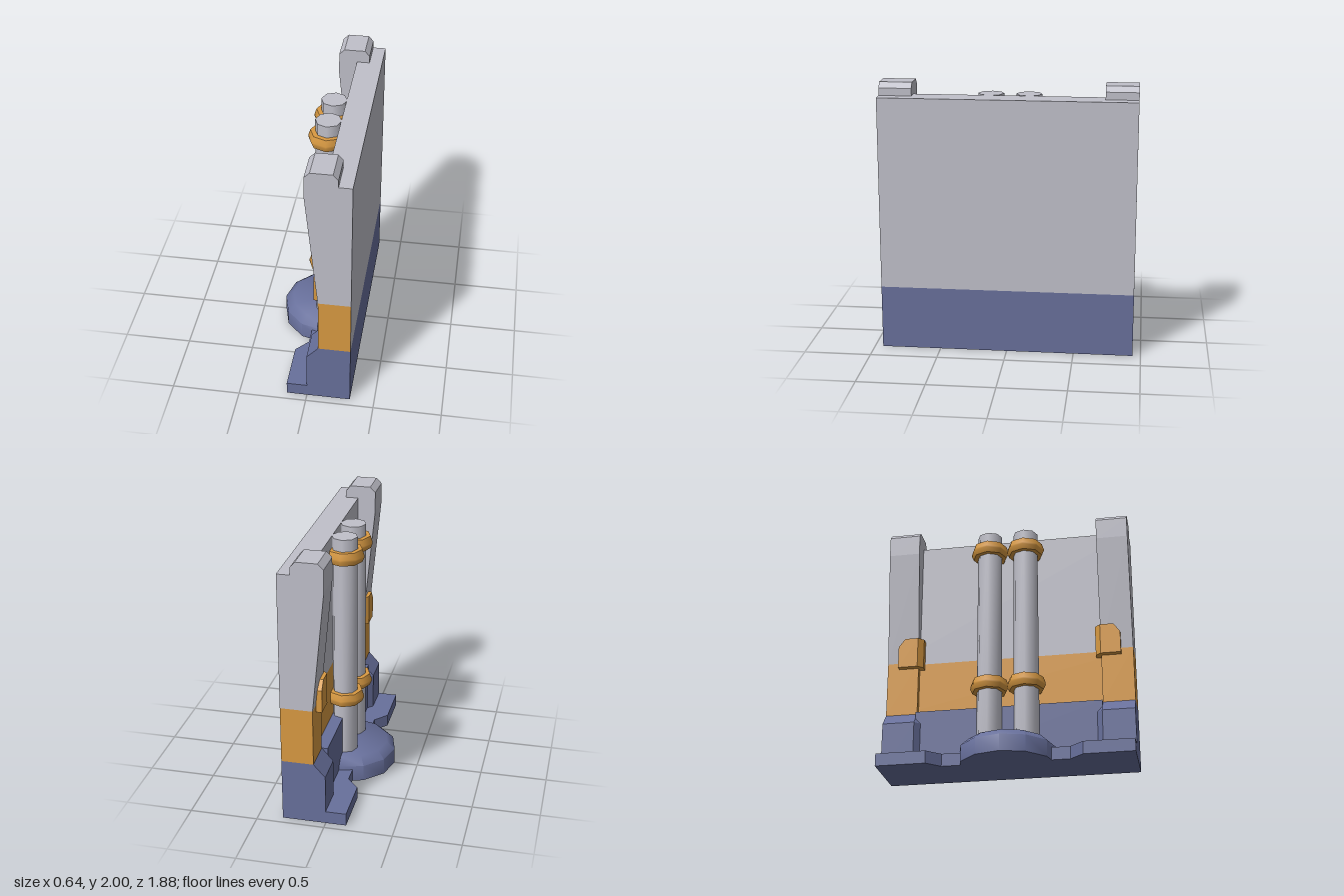
import * as THREE from 'three';
import { toCreasedNormals } from 'three/addons/utils/BufferGeometryUtils.js';
import { ConvexGeometry } from 'three/addons/geometries/ConvexGeometry.js';

const material = (name, color) => {
  const m = new THREE.MeshStandardMaterial({ color });
  m.name = name;
  return m;
};

export function createModel() {
  const grey = material('light grey', 0xc0c0ca);
  const orange = material('orange', 0xd99a42);
  const blue = material('slate blue', 0x68709c);
  const root = new THREE.Group();

  const add = (name, geometry, mat, x = 0, y = 0, z = 0) => {
    const mesh = new THREE.Mesh(geometry, mat);
    mesh.name = name;
    mesh.position.set(x, y, z);
    root.add(mesh);
    return mesh;
  };
  // box given by its limits
  const box = (name, mat, x0, x1, y0, y1, z0, z1) =>
    add(name, new THREE.BoxGeometry(x1 - x0, y1 - y0, z1 - z0), mat,
      (x0 + x1) / 2, (y0 + y1) / 2, (z0 + z1) / 2);
  const extrude = (points, depth) => new THREE.ExtrudeGeometry(
    new THREE.Shape(points.map(([a, b]) => new THREE.Vector2(a, b))),
    { depth, bevelEnabled: false });
  const lathe = (points, segments, start = 0, length = Math.PI * 2) => toCreasedNormals(
    new THREE.LatheGeometry(points.map(([r, y]) => new THREE.Vector2(r, y)), segments, start, length), 0.9);
  // convex solid, mirrored by the sign of z
  const hull = (points, s) => new ConvexGeometry(
    points.map(([x, y, z]) => new THREE.Vector3(x, y, z * s)));

  // wall slab in three bands; the plain back of the middle band is grey
  box('wallBase', blue, 0.13, 0.32, 0, 0.475, -0.94, 0.94);
  box('wallBand', [grey, orange, orange, orange, orange, orange],
    0.13, 0.32, 0.475, 0.9, -0.94, 0.94);
  box('wallPanel', grey, 0.13, 0.32, 0.9, 1.905, -0.94, 0.94);
  box('plinth', blue, 0.04, 0.13, 0, 0.475, -0.7, 0.7);

  // low foot with a recess in the middle
  const foot = extrude([[0.04, -0.94], [0.04, 0.94], [-0.15, 0.94], [-0.15, 0.57],
    [-0.06, 0.47], [-0.06, -0.47], [-0.15, -0.57], [-0.15, -0.94]], 0.095);
  foot.rotateX(-Math.PI / 2);
  add('foot', foot, blue);

  // buttresses at both ends
  for (const s of [1, -1]) {
    const plan = [[0, 0.94], [0, 0.7], [0.04, 0.66], [0.13, 0.66], [0.13, 0.94]];
    const basePoints = [];
    for (const [x, z] of plan) basePoints.push([x, 0, z], [x, 0.38, z]);
    basePoints.push([0.085, 0.475, 0.94], [0.085, 0.475, 0.7], [0.125, 0.475, 0.66],
      [0.13, 0.475, 0.66], [0.13, 0.475, 0.94]);
    add('buttressBase', hull(basePoints, s), blue);

    box('buttressBand', orange, 0.085, 0.13, 0.475, 0.9,
      s > 0 ? 0.7 : -0.94, s > 0 ? 0.94 : -0.7);

    add('buttressTop', extrude([[0.13, 0.9], [0.13, 1.905], [0.225, 1.905], [0.225, 1.96],
      [0.19, 2], [0.035, 2], [-0.005, 1.96], [-0.005, 1.8], [0.085, 0.9]], 0.24),
    grey, 0, 0, s > 0 ? 0.7 : -0.94);

    // bracket wrapped over the inner corner
    const clip = [];
    for (const [x, z] of [[0.13, 0.66], [0.08, 0.66], [0.04, 0.7]]) clip.push([x, 0.85, z], [x, 1.085, z]);
    for (const x of [0.04, 0.13]) clip.push([x, 0.85, 0.85], [x, 1.02, 0.85], [x, 1.085, 0.8]);
    add('bracket', hull(clip, s), orange);
  }

  // half-round pedestal
  add('pedestal', lathe([[0, 0], [0.36, 0], [0.36, 0.125], [0.3, 0.18], [0, 0.18]],
    6, Math.PI, Math.PI), blue, 0.04);

  // twin pipes with collars
  for (const z of [-0.14, 0.14]) {
    add('pipe', toCreasedNormals(new THREE.CylinderGeometry(0.095, 0.095, 1.735, 8), 0.9),
      grey, 0.04, 1.0375, z);
    for (const y of [0.59, 1.72]) {
      add('collar', lathe([[0.09, 0], [0.13, 0], [0.145, 0.035], [0.145, 0.05],
        [0.13, 0.095], [0.09, 0.095]], 8), orange, 0.04, y, z);
    }
  }

  return root;
}
